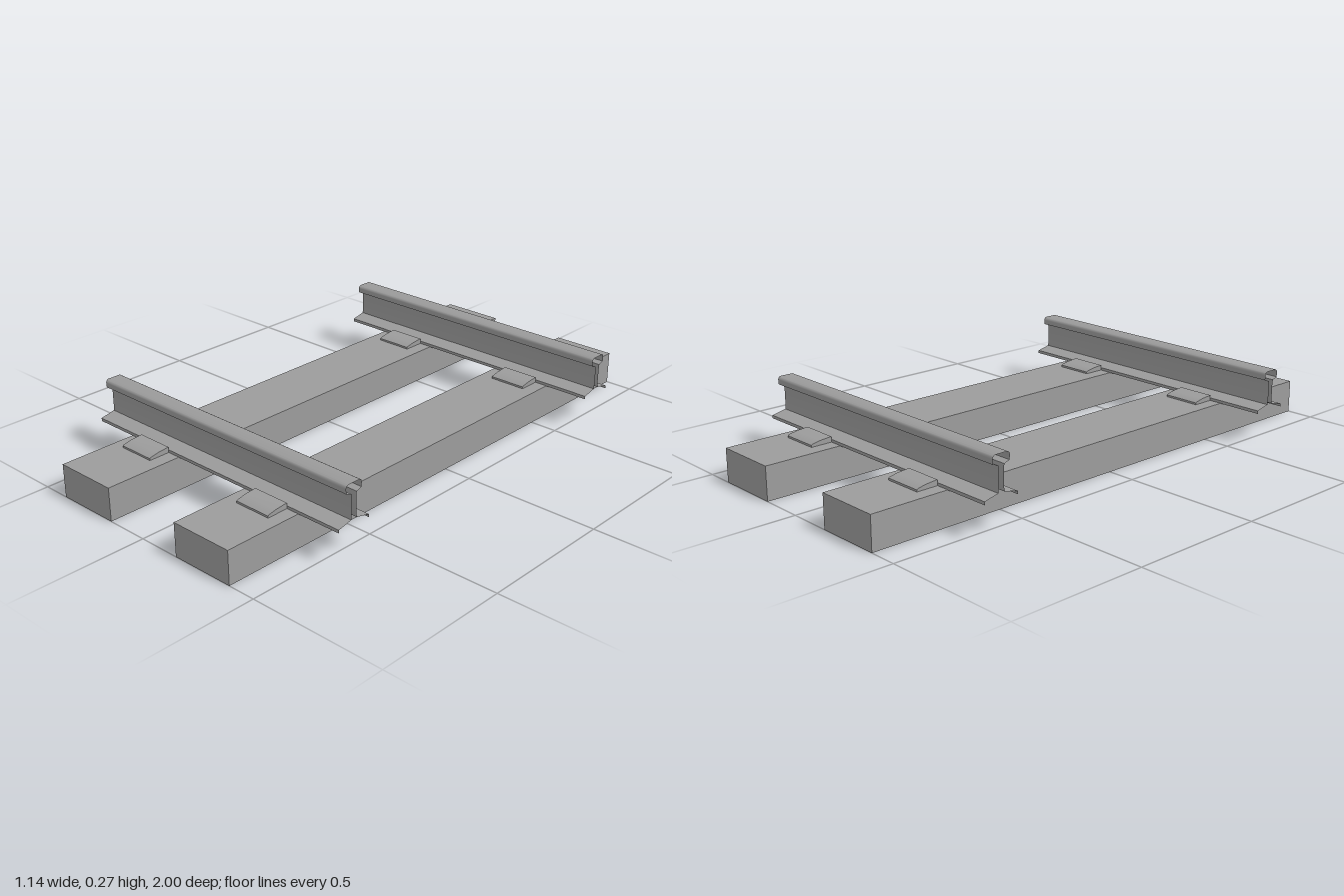
import * as THREE from 'three';
import { toCreasedNormals } from 'three/addons/utils/BufferGeometryUtils.js';

const grey = new THREE.MeshStandardMaterial({ color: 0x9c9c9c });
const greyOpen = new THREE.MeshStandardMaterial({ color: 0x9c9c9c, side: THREE.DoubleSide });

const RAIL_Z = 0.645, RAIL_LENGTH = 1.136, TIE_HEIGHT = 0.121, CREASE = 0.65;

// Half of the rail section from foot edge to rounded head, as [z, y]
const HALF_SECTION = [
  [0.066, 0.12], [0.066, 0.131], [0.012, 0.143], [0.01, 0.165],
  [0.01, 0.215], [0.012, 0.231], [0.033, 0.238],
  [0.034, 0.255], [0.033, 0.2605], [0.0295, 0.2645], [0.025, 0.267],
];

// Open shell: the section is swept along x, without end caps or underside
function railGeometry() {
  const mirrored = HALF_SECTION.map(([z, y]) => [-z, y]).reverse();
  const section = [...HALF_SECTION, ...mirrored];
  const position = [], index = [], h = RAIL_LENGTH / 2;
  section.forEach(([z, y], i) => {
    position.push(-h, y, z, h, y, z);
    if (i < section.length - 1) {
      const a = i * 2;
      index.push(a, a + 1, a + 3, a, a + 3, a + 2);
    }
  });
  const g = new THREE.BufferGeometry();
  g.setAttribute('position', new THREE.Float32BufferAttribute(position, 3));
  g.setIndex(index);
  return toCreasedNormals(g, CREASE);
}

// Sloping clip: side outline (distance from rail, height) extruded to its width
function clipGeometry() {
  const s = new THREE.Shape();
  s.moveTo(0, 0);
  s.lineTo(0.08, 0);
  s.lineTo(0.08, 0.007);
  s.lineTo(0.075, 0.01);
  s.lineTo(0.045, 0.016);
  s.lineTo(0, 0.02);
  s.closePath();
  const g = new THREE.ExtrudeGeometry(s, { depth: 0.14, bevelEnabled: false });
  g.translate(0, 0, -0.07);
  g.rotateY(-Math.PI / 2); // outline now runs towards +z
  return toCreasedNormals(g, CREASE);
}

export function createModel() {
  const model = new THREE.Group();
  const add = (name, geometry, material, x, y, z) => {
    const mesh = new THREE.Mesh(geometry, material);
    mesh.name = name;
    mesh.position.set(x, y, z);
    model.add(mesh);
    return mesh;
  };
  const tie = new THREE.BoxGeometry(0.24, TIE_HEIGHT, 2);
  const rail = railGeometry();
  const clip = clipGeometry();

  for (const side of [-1, 1]) {
    add(side > 0 ? 'leftTie' : 'rightTie', tie, grey, side * 0.278, TIE_HEIGHT / 2, 0);
    add(side > 0 ? 'frontRail' : 'backRail', rail, greyOpen, 0, 0, side * RAIL_Z);

    // A clip on each side of both rails
    for (const end of [-1, 1]) {
      for (const out of [-1, 1]) {
        const c = add('railClip', clip, grey, side * 0.279, TIE_HEIGHT, end * RAIL_Z + out * 0.066);
        c.rotation.y = out > 0 ? 0 : Math.PI;
      }
    }
  }
  return model;
}
